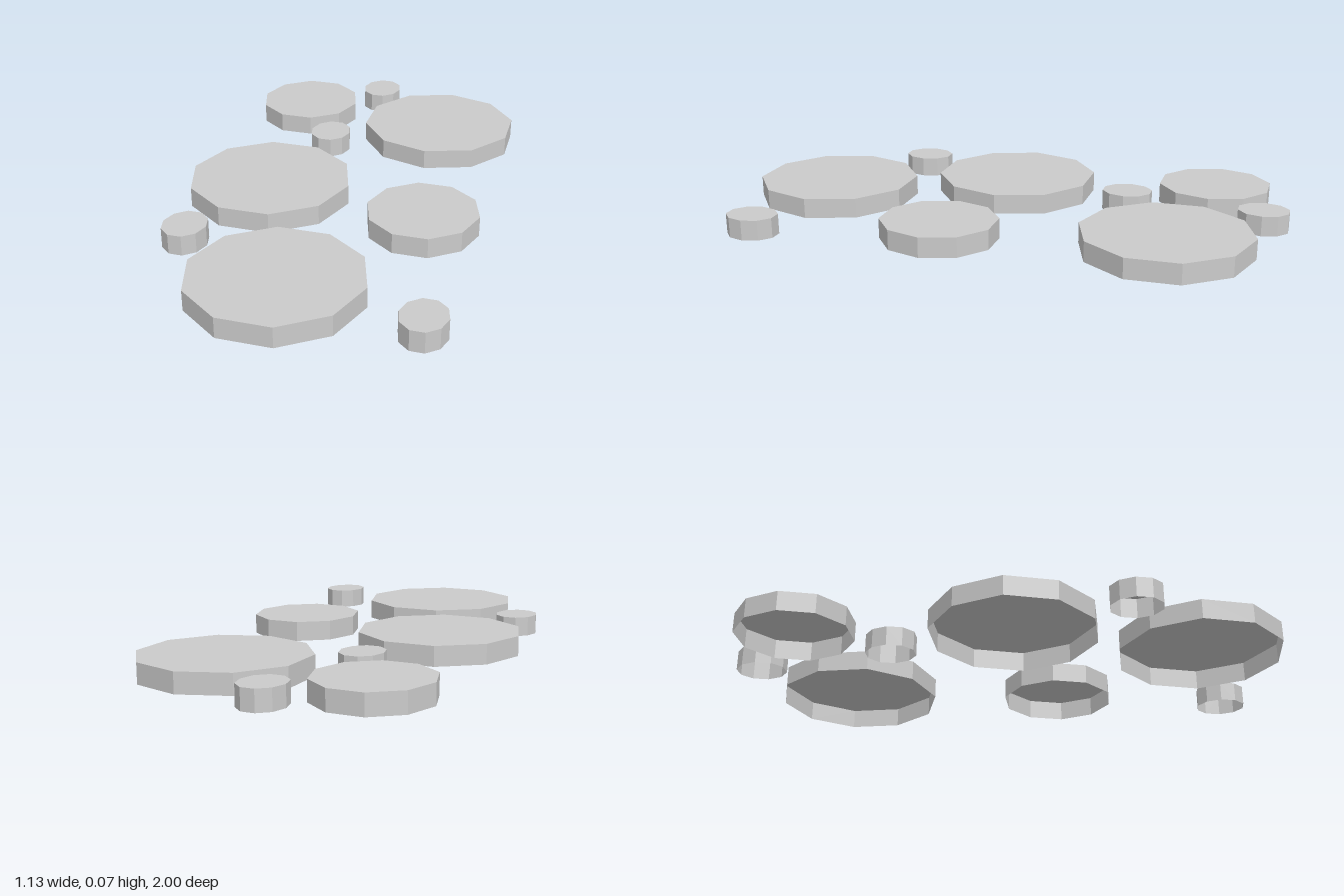
import * as THREE from 'three';

const HEIGHT = 0.073;

// Ten-sided slab with a flat top, open underneath; spin is the angle of its first corner
function makeStone(name, x, z, rx, rz, spin = Math.PI / 2) {
  const profile = [
    new THREE.Vector2(1, 0),
    new THREE.Vector2(1, HEIGHT),
    new THREE.Vector2(0, HEIGHT),
  ];
  const geometry = new THREE.LatheGeometry(profile, 10, spin);
  geometry.scale(rx, 1, rz);
  const material = new THREE.MeshStandardMaterial({
    color: 0xcccccc, flatShading: true, side: THREE.DoubleSide,
  });
  const stone = new THREE.Mesh(geometry, material);
  stone.name = name;
  stone.position.set(x, 0, z);
  return stone;
}

export function createModel() {
  const group = new THREE.Group();
  group.name = 'steppingStones';

  // Large stones; the rear one is turned so a corner points back
  group.add(makeStone('largeStoneMiddle', -0.267, 0.061, 0.302, 0.304));
  group.add(makeStone('largeStoneFront', -0.017, 0.712, 0.302, 0.303));
  group.add(makeStone('largeStoneRear', 0.231, -0.615, 0.303, 0.303, Math.PI + 0.018));

  // Medium stones
  [[-0.355, -0.704], [0.338, 0.163]].forEach(([x, z], i) =>
    group.add(makeStone(`mediumStone${i + 1}`, x, z, 0.202, 0.212)));

  // Small pebbles
  [[-0.088, -0.911], [-0.172, -0.4], [-0.425, 0.492], [0.486, 0.811]].forEach(([x, z], i) =>
    group.add(makeStone(`pebble${i + 1}`, x, z, 0.079, 0.094)));

  return group;
}
